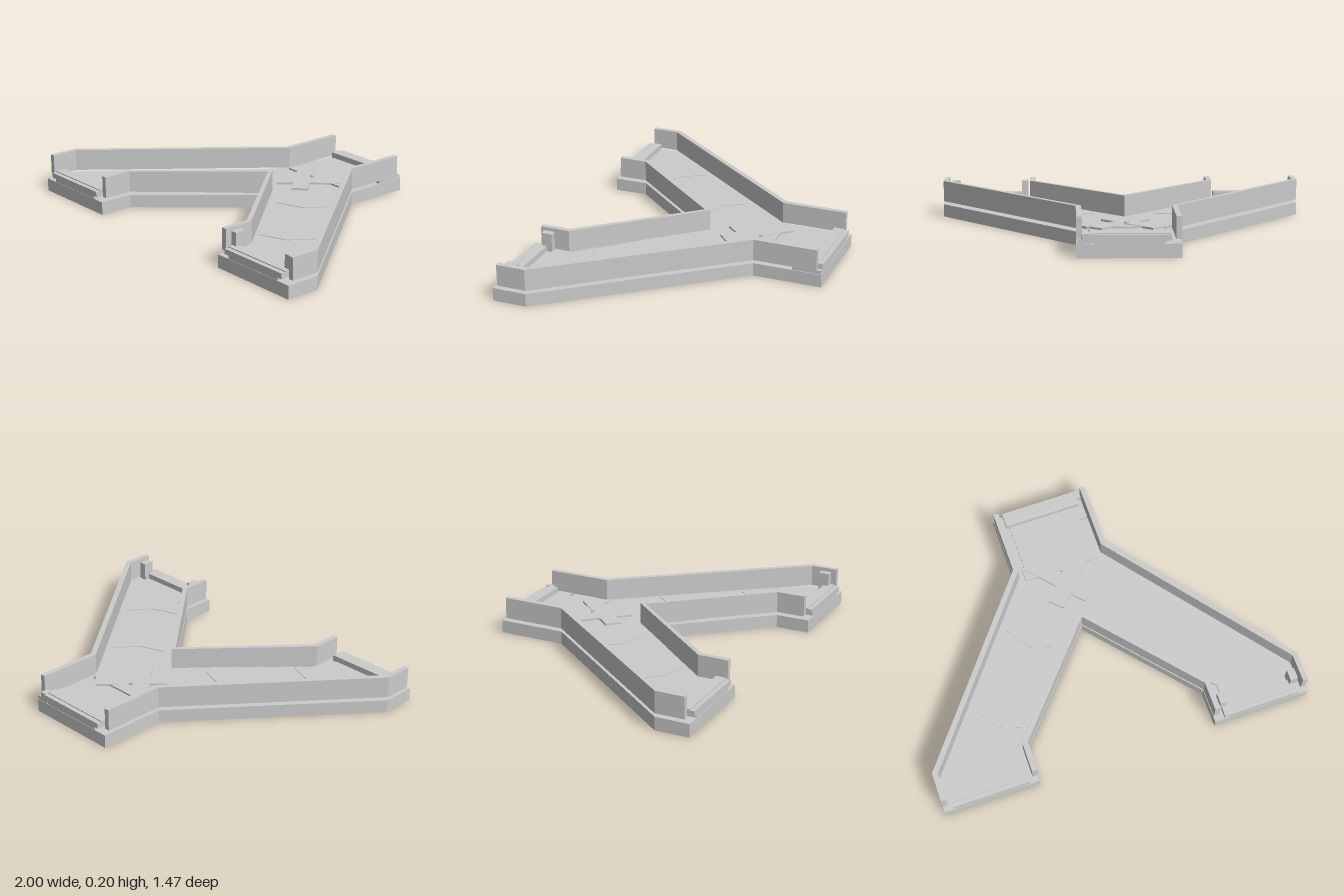
import * as THREE from 'three';

export function createModel() {
  const root = new THREE.Group();
  const mat = new THREE.MeshStandardMaterial({ color: 0xcccccc, flatShading: true });

  function add(name, geo, parent = root) {
    const m = new THREE.Mesh(geo, mat);
    m.name = name;
    parent.add(m);
    return m;
  }
  // Plan outline of [x, z] points raised from y0 to y1
  function slab(name, pts, y0, y1) {
    const shape = new THREE.Shape(pts.map(([x, z]) => new THREE.Vector2(x, z)));
    const geo = new THREE.ExtrudeGeometry(shape, { depth: y1 - y0, bevelEnabled: false });
    geo.rotateX(Math.PI / 2).translate(0, y1, 0);
    return add(name, geo);
  }
  // Box given by its extents
  function block(name, x0, x1, y0, y1, z0, z1, parent = root) {
    const geo = new THREE.BoxGeometry(x1 - x0, y1 - y0, z1 - z0);
    geo.translate((x0 + x1) / 2, (y0 + y1) / 2, (z0 + z1) / 2);
    return add(name, geo, parent);
  }
  const flip = pts => pts.map(([x, z]) => [-x, z]);
  // Closes a right-hand half outline with its mirror image
  const mirrored = half => [...half, ...flip(half).reverse()];

  // Forked base slab
  slab('base', mirrored([
    [0.26, -0.737], [0.26, -0.37], [1, 0.555], [1, 0.737],
    [0.485, 0.737], [0.485, 0.555], [0.0005, 0],
  ]), 0, 0.07);

  // Floor plate held just above the base
  slab('floor', mirrored([
    [0.19, -0.7], [0.19, -0.36], [0.925, 0.555], [0.925, 0.7],
    [0.56, 0.7], [0.56, 0.555], [0.2, 0.2], [0.0005, -0.02],
  ]), 0.078, 0.09);

  // Outer walls, floating level with the floor
  const outer = [
    [0.26, -0.71], [0.26, -0.37], [1, 0.555], [1, 0.71],
    [0.972, 0.71], [0.972, 0.565], [0.232, -0.36], [0.232, -0.71],
  ];
  slab('leftOuterWall', outer, 0.088, 0.203);
  slab('rightOuterWall', flip(outer), 0.088, 0.203);

  // Inner wall around the fork
  slab('forkWall', [
    [-0.485, 0.71], [-0.485, 0.555], [0, 0], [0.485, 0.555], [0.485, 0.71],
    [0.514, 0.71], [0.514, 0.55], [0, -0.032], [-0.514, 0.55], [-0.514, 0.71],
  ], 0.088, 0.203);

  // Shallow bent ribs across each leg
  for (const [a, b] of [[[0.39, -0.11], [0.16, 0.07]], [[0.68, 0.26], [0.45, 0.44]]]) {
    const mid = [(a[0] + b[0]) / 2 + 0.03, (a[1] + b[1]) / 2 + 0.035];
    const line = [a, mid, b];
    const rib = [...line, ...line.map(([x, z]) => [x + 0.008, z + 0.01]).reverse()];
    slab('floorRib', rib, 0.088, 0.093);
    slab('floorRib', flip(rib), 0.088, 0.093);
  }

  // Stepped sill at each of the three open ends
  for (const [name, x, turn] of [['leftSill', 0.743, 0], ['rightSill', -0.743, 0], ['backSill', 0, Math.PI]]) {
    const g = new THREE.Group();
    g.name = name;
    block('sillFoot', -0.18, 0.18, 0.068, 0.09, 0.69, 0.735, g);
    block('sillStep', -0.207, 0.207, 0.087, 0.115, 0.657, 0.737, g);
    block('sillLip', -0.207, 0.207, 0.115, 0.12, 0.657, 0.712, g);
    g.position.x = x;
    g.rotation.y = turn;
    root.add(g);
  }

  // Posts beside the walls of the left leg and the back end
  block('innerPost', 0.525, 0.56, 0.09, 0.19, 0.627, 0.685);
  block('outerPost', 0.915, 0.955, 0.09, 0.19, 0.627, 0.685);
  block('backPost', 0.205, 0.235, 0.088, 0.12, -0.735, -0.69);

  // Support joining the floor to the end of the back wall
  block('wallSupport', 0.185, 0.256, 0.068, 0.09, -0.735, -0.58);

  // Junction plate with a diagonal cross and centre stud, reaching down to the base
  block('junctionPlate', -0.205, 0.205, 0.085, 0.099, -0.4, -0.33);
  for (const s of [-1, 1]) {
    const arm = add('crossArm', new THREE.BoxGeometry(0.09, 0.032, 0.38));
    arm.position.set(s * 0.035, 0.085, -0.285);
    arm.rotation.y = -s * 0.74;
  }
  add('centreStud', new THREE.CylinderGeometry(0.01, 0.01, 0.012, 8)).position.set(0, 0.106, -0.32);

  return root;
}
